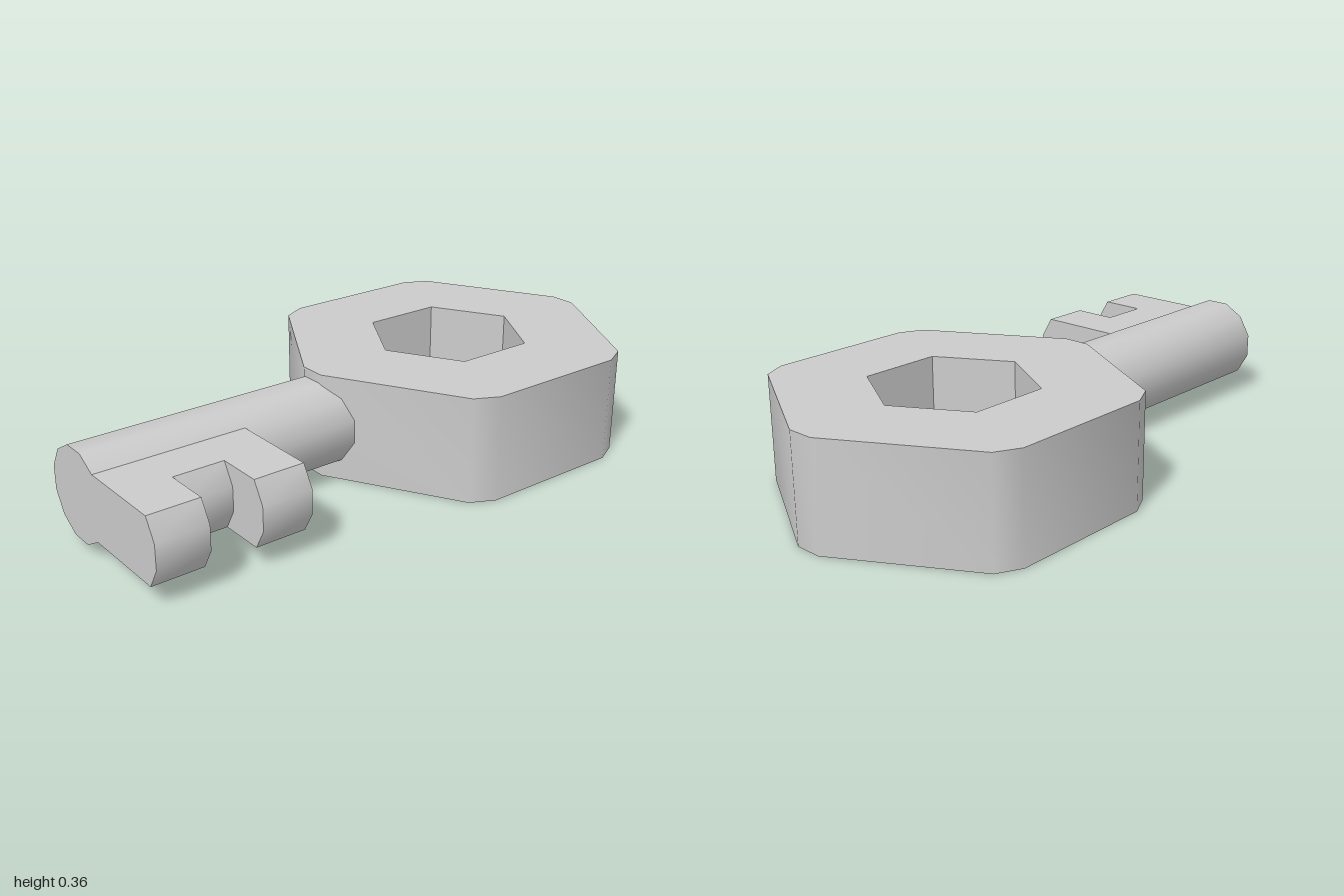
import * as THREE from 'three';
import { toCreasedNormals } from 'three/addons/utils/BufferGeometryUtils.js';

const material = new THREE.MeshStandardMaterial({ color: 0xcccccc });
const toPoints = (list) => list.map(([x, y]) => new THREE.Vector2(x, y));

// Straight extrusion; shallow corners are smoothed, the others stay sharp
function prism(shape, depth) {
  const geometry = new THREE.ExtrudeGeometry(shape, { depth, bevelEnabled: false });
  return toCreasedNormals(geometry, 0.65);
}

function addPart(parent, name, geometry) {
  const mesh = new THREE.Mesh(geometry, material);
  mesh.name = name;
  parent.add(mesh);
  return mesh;
}

export function createModel() {
  const key = new THREE.Group();
  key.name = 'key';
  const midY = 0.178;

  // Bow: hexagon with clipped corners and a hexagonal hole
  const quarter = [[0.525, 0.25], [0.485, 0.33], [0.045, 0.58]];
  const mirrored = [...quarter].reverse();
  const outline = [
    ...quarter,
    ...mirrored.map(([x, y]) => [-x, y]),
    ...quarter.map(([x, y]) => [-x, -y]),
    ...mirrored.map(([x, y]) => [x, -y]),
  ];
  const bowShape = new THREE.Shape(toPoints(outline));
  const hole = [];
  for (let i = 0; i < 6; i++) {
    const a = Math.PI / 6 + (i * Math.PI) / 3;
    hole.push([0.276 * Math.cos(a), 0.276 * Math.sin(a)]);
  }
  bowShape.holes.push(new THREE.Path(toPoints(hole)));
  const bow = addPart(key, 'bow', prism(bowShape, 0.356));
  bow.rotation.x = -Math.PI / 2;
  bow.position.z = -0.42;

  // Shaft: twelve-sided rod running into the bow
  const ring = [];
  for (let i = 0; i < 12; i++) {
    const a = Math.PI / 12 + (i * Math.PI) / 6;
    ring.push([0.152 * Math.cos(a), 0.152 * Math.sin(a)]);
  }
  const shaft = addPart(key, 'shaft', prism(new THREE.Shape(toPoints(ring)), 0.95));
  shaft.position.set(0, midY, 0.05);

  // Bit: two long teeth joined by a short web, all with a rounded outer end
  const bit = new THREE.Group();
  bit.name = 'bit';
  key.add(bit);
  const slabs = [
    ['backTooth', 0.49, 0.66, 0.448],
    ['web', 0.66, 0.83, 0.296],
    ['frontTooth', 0.83, 1, 0.448],
  ];
  for (const [name, z0, z1, end] of slabs) {
    const profile = new THREE.Shape(toPoints([
      [0.105, -0.108], [end - 0.039, -0.108], [end, -0.04],
      [end, 0.04], [end - 0.039, 0.108], [0.105, 0.108],
    ]));
    addPart(bit, name, prism(profile, z1 - z0)).position.set(0, midY, z0);
  }
  return key;
}
